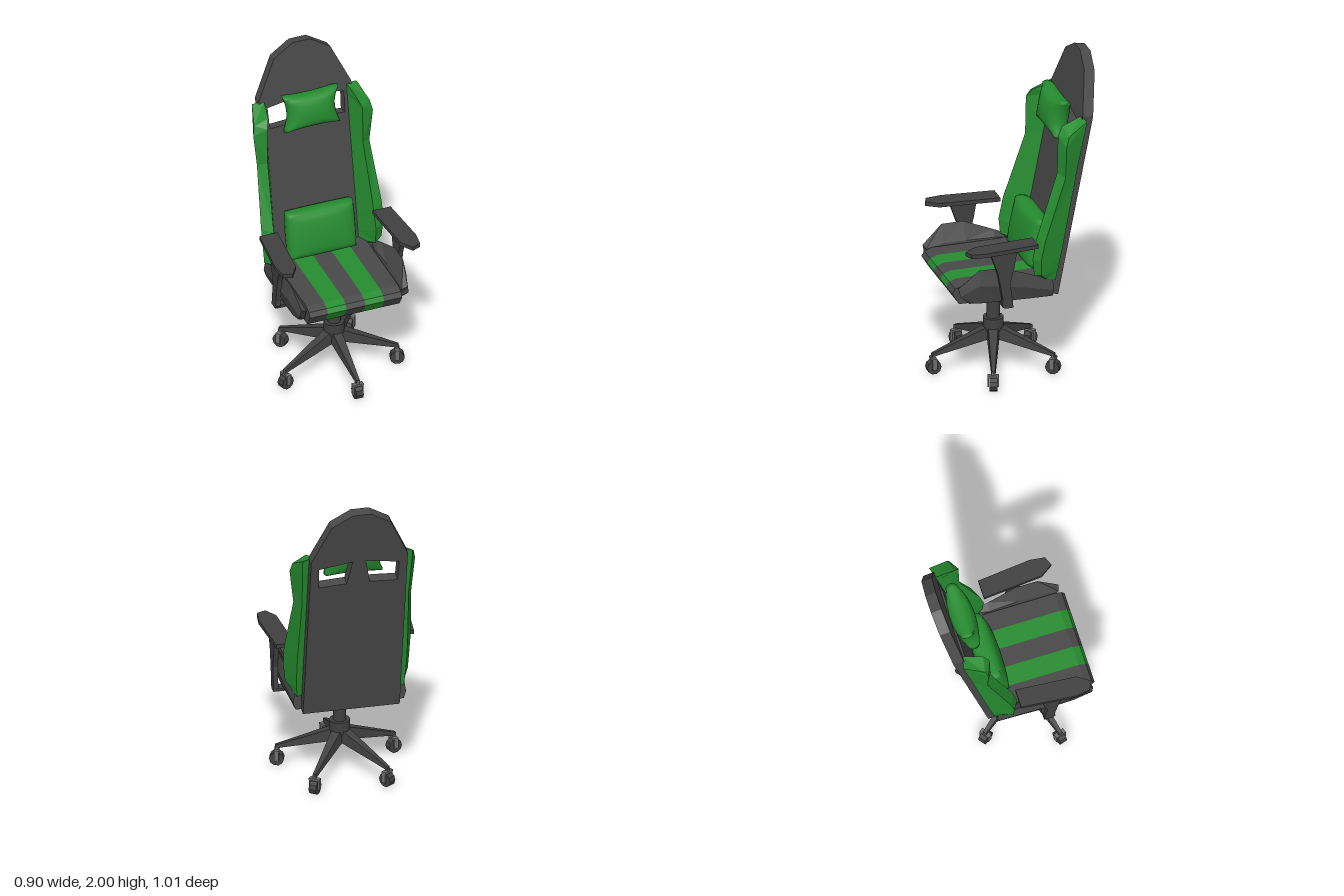
import * as THREE from 'three';
import { mergeVertices } from 'three/addons/utils/BufferGeometryUtils.js';

const flat = (color, name) => Object.assign(new THREE.MeshStandardMaterial({ color }), { name });

function createModel() {
  const model = new THREE.Group();
  model.name = 'officeChair';
  const upholstery = flat(0x484848, 'dark upholstery');
  const green = flat(0x268c30, 'green upholstery');
  const frame = flat(0x404040, 'dark frame');
  const metal = flat(0x707070, 'grey metal');

  const add = (name, geo, mat, parent = model) => {
    const mesh = new THREE.Mesh(geo, mat);
    mesh.name = name;
    parent.add(mesh);
    return mesh;
  };
  const box = (w, h, d, x, y, z) => new THREE.BoxGeometry(w, h, d).translate(x, y, z);
  const shapeOf = pts => new THREE.Shape(pts.map(p => new THREE.Vector2(...p)));
  const extrude = (shape, depth) => new THREE.ExtrudeGeometry(shape, { depth, bevelEnabled: false });
  // Side profile of (z, y) points, running from x0 to x1
  const sideProfile = (pts, x0, x1) =>
    extrude(shapeOf(pts), x1 - x0).rotateY(-Math.PI / 2).translate(x1, 0, 0);

  // Flat-faced copy reflected in x, with its corners reordered
  function mirrored(geo) {
    const g = geo.index ? geo.toNonIndexed() : geo.clone();
    const p = g.attributes.position;
    const v = i => new THREE.Vector3().fromBufferAttribute(p, i);
    for (let i = 0; i < p.count; i += 3) {
      const [a, b, c] = [v(i), v(i + 2), v(i + 1)];
      [a, b, c].forEach((q, k) => p.setXYZ(i + k, -q.x, q.y, q.z));
    }
    g.computeVertexNormals();
    return g;
  }
  function addPair(name, geo, mat) {
    add('left' + name, geo, mat);
    add('right' + name, mirrored(geo), mat);
  }

  // Closed flat-shaded body through rings of [x, y, z] points
  function loft(rings) {
    const n = rings[0].length, tris = [];
    for (let r = 0; r < rings.length - 1; r++) {
      for (let i = 0; i < n; i++) {
        const j = (i + 1) % n, A = rings[r], B = rings[r + 1];
        tris.push([A[i], A[j], B[j]], [A[i], B[j], B[i]]);
      }
    }
    const end = rings[rings.length - 1];
    for (let i = 1; i < n - 1; i++) {
      tris.push([rings[0][0], rings[0][i + 1], rings[0][i]], [end[0], end[i], end[i + 1]]);
    }
    const V = p => new THREE.Vector3(...p);
    const volume = tris.reduce((s, [a, b, c]) => s + V(a).dot(V(b).cross(V(c))), 0);
    const ordered = volume < 0 ? tris.map(([a, b, c]) => [a, c, b]) : tris;
    const g = new THREE.BufferGeometry();
    g.setAttribute('position', new THREE.Float32BufferAttribute(ordered.flat(2), 3));
    g.computeVertexNormals();
    return g;
  }

  // Padded cushion: pinch > 0 draws the sides in, < 0 bulges them
  function pillow(w, h, edge, mid, pinch) {
    let g = new THREE.BoxGeometry(2, 2, 2, 12, 12, 4);
    const p = g.attributes.position;
    for (let i = 0; i < p.count; i++) {
      const u = p.getX(i), v = p.getY(i), t = p.getZ(i);
      const round = 0.93 + 0.07 * (1 - t * t);
      const dome = Math.sqrt((1 - u * u) * (1 - v * v));
      p.setXYZ(i,
        u * w / 2 * (1 - pinch * (1 - v * v)) * round,
        v * h / 2 * (1 - pinch * 0.6 * (1 - u * u)) * round,
        t * (edge + (mid - edge) * dome) / 2);
    }
    g.deleteAttribute('uv');
    g.deleteAttribute('normal');
    g = mergeVertices(g, 1e-5);
    g.computeVertexNormals();
    return g;
  }

  // Reclined backrest with two openings below the headrest
  const back = new THREE.Group();
  back.name = 'backrest';
  back.position.set(0, 0.545, -0.22);
  back.rotation.x = -0.192;
  model.add(back);
  const outline = [[0.295, 0], [0.295, 1.145], [0.18, 1.395], [0.055, 1.472]];
  const flip = pts => pts.map(([x, y]) => [-x, y]).reverse();
  const shell = shapeOf([...outline, ...flip(outline)]);
  const opening = [[0.07, 0.96], [0.24, 0.95], [0.245, 1.087], [0.04, 1.12]];
  for (const pts of [opening, flip(opening)]) {
    shell.holes.push(new THREE.Path(pts.map(p => new THREE.Vector2(...p))));
  }
  add('backShell', extrude(shell, 0.066), upholstery, back);
  add('lumbarPillow', pillow(0.43, 0.3, 0.1, 0.155, -0.02), green, back).position.set(0, 0.273, 0.14);
  add('headPillow', pillow(0.36, 0.235, 0.07, 0.15, 0.16), green, back).position.set(0, 1.06, 0.138);

  // Side bolsters: [back y, ridge x y z, outer x y z, outer back x]
  const bolster = [
    [0.66, 0.31, 0.67, -0.11, 0.35, 0.68, -0.125, 0.325],
    [0.72, 0.325, 0.70, -0.06, 0.375, 0.715, -0.09, 0.33],
    [0.84, 0.325, 0.80, -0.05, 0.385, 0.82, -0.085, 0.335],
    [0.98, 0.32, 0.93, -0.075, 0.387, 0.94, -0.11, 0.335],
    [1.36, 0.305, 1.34, -0.21, 0.36, 1.32, -0.245, 0.325],
    [1.60, 0.305, 1.58, -0.215, 0.383, 1.53, -0.245, 0.335],
    [1.67, 0.285, 1.63, -0.25, 0.37, 1.59, -0.265, 0.335],
  ];
  const backFront = y => -0.158 - (y - 0.558) * 0.194;
  addPair('BackBolster', loft(bolster.map(([y, fx, fy, fz, ox, oy, oz, bx]) => [
    [0.263, y, backFront(y)], [fx, fy, fz], [ox, oy, oz], [bx, y - 0.01, backFront(y) - 0.015],
  ])), green);

  // Seat cushion in five lengthwise bands
  const seat = [[-0.18, 0.555], [0.4, 0.565], [0.443, 0.635], [0.425, 0.665], [0.38, 0.682], [-0.18, 0.682]];
  const cuts = [-0.295, -0.18, -0.06, 0.06, 0.18, 0.295];
  for (let i = 0; i < 5; i++) {
    add(i % 2 ? 'seatStripe' : 'seatPanel', sideProfile(seat, cuts[i], cuts[i + 1]), i % 2 ? green : upholstery);
  }

  // Raised seat wings, each section [x, y, z] around the cushion edge
  const at = (z, pts) => pts.map(([x, y, dz = 0]) => [x, y, z + dz]);
  addPair('SeatWing', loft([
    at(-0.175, [[0.29, 0.555], [0.33, 0.555], [0.345, 0.6], [0.335, 0.66], [0.29, 0.66]]),
    at(-0.02, [[0.29, 0.555], [0.335, 0.56], [0.36, 0.64], [0.345, 0.725], [0.3, 0.69]]),
    at(0.16, [[0.29, 0.56], [0.345, 0.57], [0.378, 0.68], [0.362, 0.795], [0.31, 0.69]]),
    at(0.295, [[0.29, 0.56], [0.345, 0.575], [0.378, 0.7], [0.36, 0.795], [0.31, 0.69]]),
    at(0.41, [[0.295, 0.57, -0.06], [0.33, 0.575, -0.06], [0.35, 0.635], [0.34, 0.685, 0.01], [0.305, 0.67]]),
  ]), upholstery);

  // Armrests and the bar that joins them under the seat
  const pad = [[0.305, -0.055], [0.42, -0.055], [0.452, 0.275], [0.44, 0.368], [0.385, 0.39], [0.335, 0.315]];
  addPair('ArmPad', extrude(shapeOf(pad), 0.025).rotateX(Math.PI / 2).translate(0, 0.94, 0), frame);
  const post = [[0.24, 0.917], [0.19, 0.77], [0.16, 0.6], [0.165, 0.567], [0.15, 0.545],
    [0.095, 0.545], [0.1, 0.6], [0.115, 0.7], [0.09, 0.8], [0.07, 0.917]];
  addPair('ArmPost', sideProfile(post, 0.372, 0.402), frame);
  add('armCrossbar', box(0.78, 0.018, 0.06, 0, 0.554, 0.125), frame);

  // Swivel base, built around its own upright axis
  const base = new THREE.Group();
  base.name = 'swivelBase';
  base.position.z = 0.09;
  model.add(base);
  const drum = (name, rTop, rBottom, y0, y1) => add(name,
    new THREE.CylinderGeometry(rTop, rBottom, y1 - y0, 16).translate(0, (y0 + y1) / 2, 0), frame, base);
  drum('seatMount', 0.09, 0.09, 0.51, 0.558);
  drum('columnCollar', 0.07, 0.07, 0.445, 0.51);
  drum('gasColumn', 0.04, 0.04, 0.31, 0.445);
  drum('hub', 0.062, 0.062, 0.25, 0.32);
  drum('hubFoot', 0.062, 0.045, 0.19, 0.25);

  // Five tapered legs with casters
  const ring = (z, w, y0, y1) => [[-w, y0, z], [w, y0, z], [w * 0.8, y1, z], [-w * 0.8, y1, z]];
  const legGeo = loft([ring(0.02, 0.038, 0.19, 0.272), ring(0.07, 0.035, 0.182, 0.255), ring(0.385, 0.013, 0.11, 0.13)]);
  const wheelGeo = new THREE.CylinderGeometry(0.044, 0.044, 0.046, 10).toNonIndexed();
  wheelGeo.rotateZ(Math.PI / 2).translate(0, 0.044, 0.375);
  wheelGeo.computeVertexNormals();
  for (let i = 0; i < 5; i++) {
    const leg = new THREE.Group();
    leg.name = 'legWithCaster';
    leg.rotation.y = i * Math.PI * 2 / 5;
    base.add(leg);
    add('leg', legGeo, frame, leg);
    add('casterWheel', wheelGeo, frame, leg);
    add('casterBridge', box(0.068, 0.012, 0.03, 0, 0.096, 0.375), metal, leg);
    add('casterStem', box(0.02, 0.03, 0.02, 0, 0.112, 0.375), metal, leg);
    for (const s of [-1, 1]) {
      add('casterFork', box(0.009, 0.065, 0.028, s * 0.0295, 0.064, 0.375), metal, leg);
    }
  }
  return model;
}

export { createModel };
